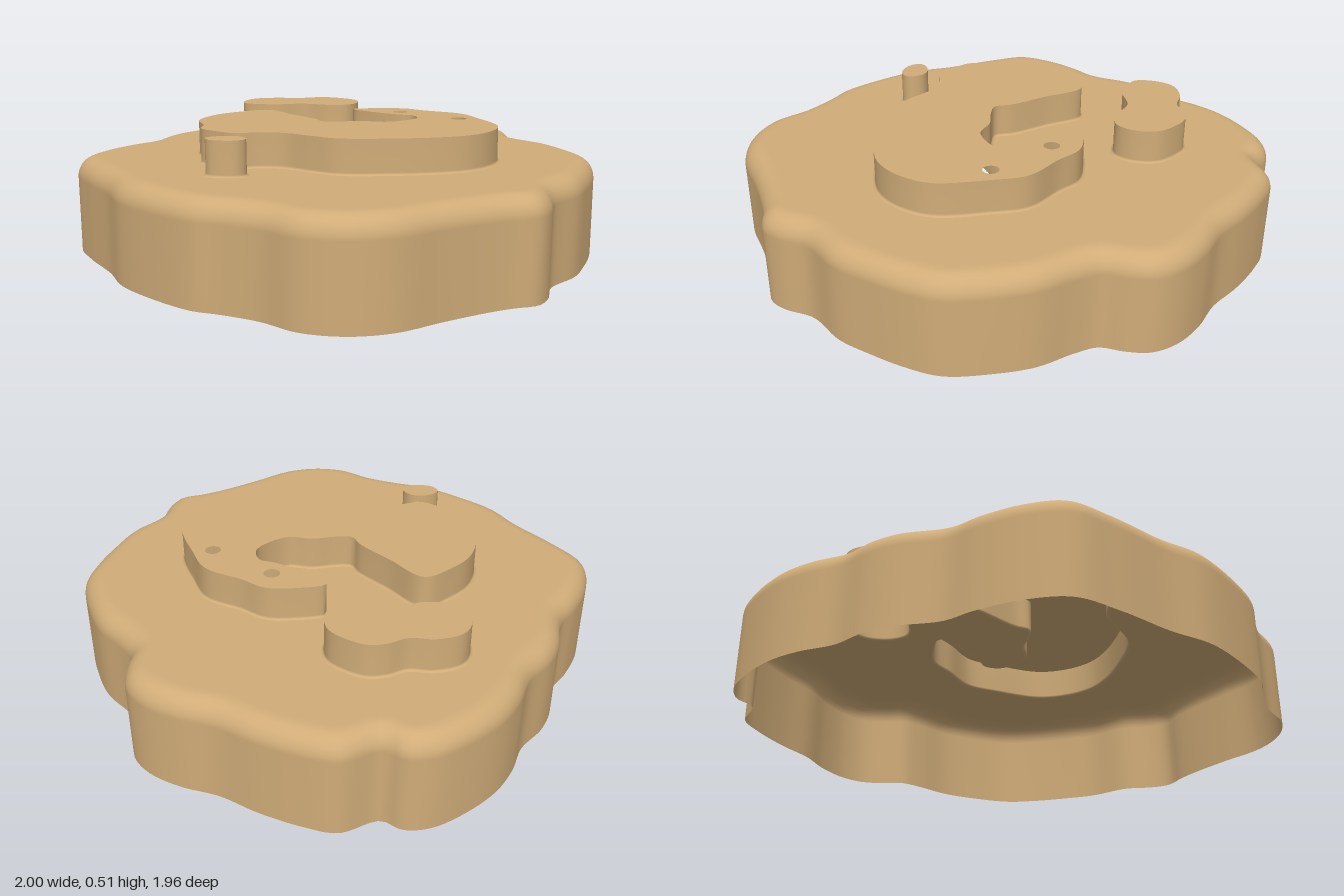
import * as THREE from 'three';

const BASE_TOP = 0.38, ISLAND_TOP = 0.513;

// Outlines as x, z pairs, clockwise seen from above
const BASE = [
  -0.02, -0.98, 0.085, -0.96, 0.155, -0.9, 0.21, -0.83, 0.3, -0.805, 0.45, -0.785, 0.59, -0.725, 0.73, -0.635,
  0.8, -0.53, 0.87, -0.37, 0.91, -0.25, 0.92, -0.08, 0.98, 0.03, 0.995, 0.11, 0.95, 0.2, 0.91, 0.31,
  0.87, 0.455, 0.825, 0.64, 0.74, 0.765, 0.61, 0.845, 0.45, 0.865, 0.3, 0.915, 0.21, 0.955, 0, 0.975,
  -0.18, 0.965, -0.34, 0.91, -0.555, 0.86, -0.715, 0.8, -0.795, 0.67, -0.835, 0.51, -0.845, 0.39, -0.92, 0.24,
  -0.945, 0.135, -0.945, 0, -0.985, -0.13, -1, -0.265, -0.975, -0.43, -0.93, -0.55, -0.865, -0.615, -0.785, -0.63,
  -0.715, -0.765, -0.61, -0.82, -0.45, -0.87, -0.29, -0.9, -0.155, -0.955,
];
const CRESCENT = [
  -0.2, -0.23, -0.13, -0.33, -0.05, -0.395, 0.06, -0.41, 0.22, -0.44, 0.35, -0.385, 0.525, -0.28, 0.585, -0.16,
  0.59, -0.035, 0.54, 0.085, 0.43, 0.23, 0.3, 0.355, 0.19, 0.385, 0.065, 0.41, -0.01, 0.47, -0.055, 0.54,
  -0.12, 0.555, -0.235, 0.555, -0.29, 0.5, -0.41, 0.43, -0.48, 0.29, -0.48, 0.165, -0.44, 0.045, -0.26, 0.065,
  -0.1, 0.085, -0.04, 0.11, 0.015, 0.065, 0.07, -0.005, 0.155, -0.06, 0.175, -0.21, 0.11, -0.26, 0.055, -0.24,
  -0.075, -0.22,
];
const KIDNEY = [
  -0.555, -0.44, -0.405, -0.455, -0.33, -0.39, -0.315, -0.31, -0.365, -0.25, -0.48, -0.195, -0.545, -0.095,
  -0.62, -0.045, -0.68, -0.03, -0.745, -0.09, -0.765, -0.17, -0.715, -0.26, -0.64, -0.315, -0.605, -0.39,
];
const PEG = [
  0.02, 0.57, 0.07, 0.59, 0.075, 0.635, 0.04, 0.675, -0.01, 0.695, -0.05, 0.68, -0.055, 0.645, -0.025, 0.59,
];

// Smooth closed loop through the outline, as points (x, z)
function smoothLoop(flat, count) {
  const pts = [];
  for (let i = 0; i < flat.length; i += 2) pts.push(new THREE.Vector3(flat[i], 0, flat[i + 1]));
  const curve = new THREE.CatmullRomCurve3(pts, true, 'centripetal');
  return curve.getSpacedPoints(count).slice(0, count).map((p) => new THREE.Vector2(p.x, p.z));
}

// Move a loop inward; the span averages the direction over neighbours
function inset(loop, amount, span) {
  const n = loop.length;
  return loop.map((p, i) => {
    const d = loop[(i + span) % n].clone().sub(loop[(i - span + n) % n]).normalize();
    return new THREE.Vector2(p.x - d.y * amount, p.y + d.x * amount);
  });
}

// Smooth wall following a profile of [inset, height] pairs
function wall(loop, profile, span) {
  const n = loop.length, pos = [], index = [];
  profile.forEach(([amount, y], r) => {
    inset(loop, amount, span).forEach((p, i) => {
      pos.push(p.x, y, p.y);
      if (r === 0) return;
      const j = (i + 1) % n, lo = (r - 1) * n, hi = r * n;
      index.push(lo + i, hi + i, lo + j, hi + i, hi + j, lo + j);
    });
  });
  const geo = new THREE.BufferGeometry();
  geo.setAttribute('position', new THREE.Float32BufferAttribute(pos, 3));
  geo.setIndex(index);
  geo.computeVertexNormals();
  return geo;
}

// Flat horizontal plate with holes
function plate(loop, holes, y) {
  const flip = (pts) => pts.map((p) => new THREE.Vector2(p.x, -p.y));
  const shape = new THREE.Shape(flip(loop));
  shape.holes = holes.map((h) => new THREE.Path(flip(h)));
  return new THREE.ShapeGeometry(shape).rotateX(-Math.PI / 2).translate(0, y, 0);
}

function circle(x, z, r) {
  return Array.from({ length: 24 }, (_, i) => {
    const a = (i / 24) * Math.PI * 2;
    return new THREE.Vector2(x + Math.cos(a) * r, z + Math.sin(a) * r);
  });
}

export function createModel() {
  const group = new THREE.Group();
  const tan = new THREE.MeshStandardMaterial({ color: 0xd0ac78, side: THREE.DoubleSide });
  tan.name = 'tan';
  const add = (name, geo) => {
    const mesh = new THREE.Mesh(geo, tan);
    mesh.name = name;
    group.add(mesh);
  };

  // Raised islands: open-bottomed walls with a small foot fillet, and flat tops
  const foot = 0.01;
  const islands = [
    { name: 'crescent', loop: smoothLoop(CRESCENT, 200), holes: [circle(0.005, -0.305, 0.031), circle(0.3, -0.325, 0.031)] },
    { name: 'kidney', loop: smoothLoop(KIDNEY, 90), holes: [] },
    { name: 'peg', loop: smoothLoop(PEG, 32), holes: [] },
  ];
  const islandProfile = [
    [-foot, BASE_TOP], [-foot * 0.3, BASE_TOP + foot * 0.3], [0, BASE_TOP + foot], [0, ISLAND_TOP],
  ];
  for (const { name, loop, holes } of islands) {
    add(name + 'Wall', wall(loop, islandProfile, 1));
    add(name + 'Top', plate(loop, holes, ISLAND_TOP));
  }

  // Base shell: wavy wall with a rounded upper edge, open underneath
  const outline = smoothLoop(BASE, 240);
  const radius = 0.08, profile = [[0, 0]];
  for (let i = 0; i <= 8; i++) {
    const a = (i / 8) * Math.PI / 2;
    profile.push([radius * (1 - Math.cos(a)), BASE_TOP - radius * (1 - Math.sin(a))]);
  }
  profile.push([radius + 0.015, BASE_TOP]);
  add('baseWall', wall(outline, profile, 4));

  // Base top, cut away beneath each island
  const cutouts = islands.map(({ loop }) => inset(loop, -foot, 1));
  add('baseTop', plate(inset(outline, radius + 0.015, 4), cutouts, BASE_TOP));
  return group;
}
